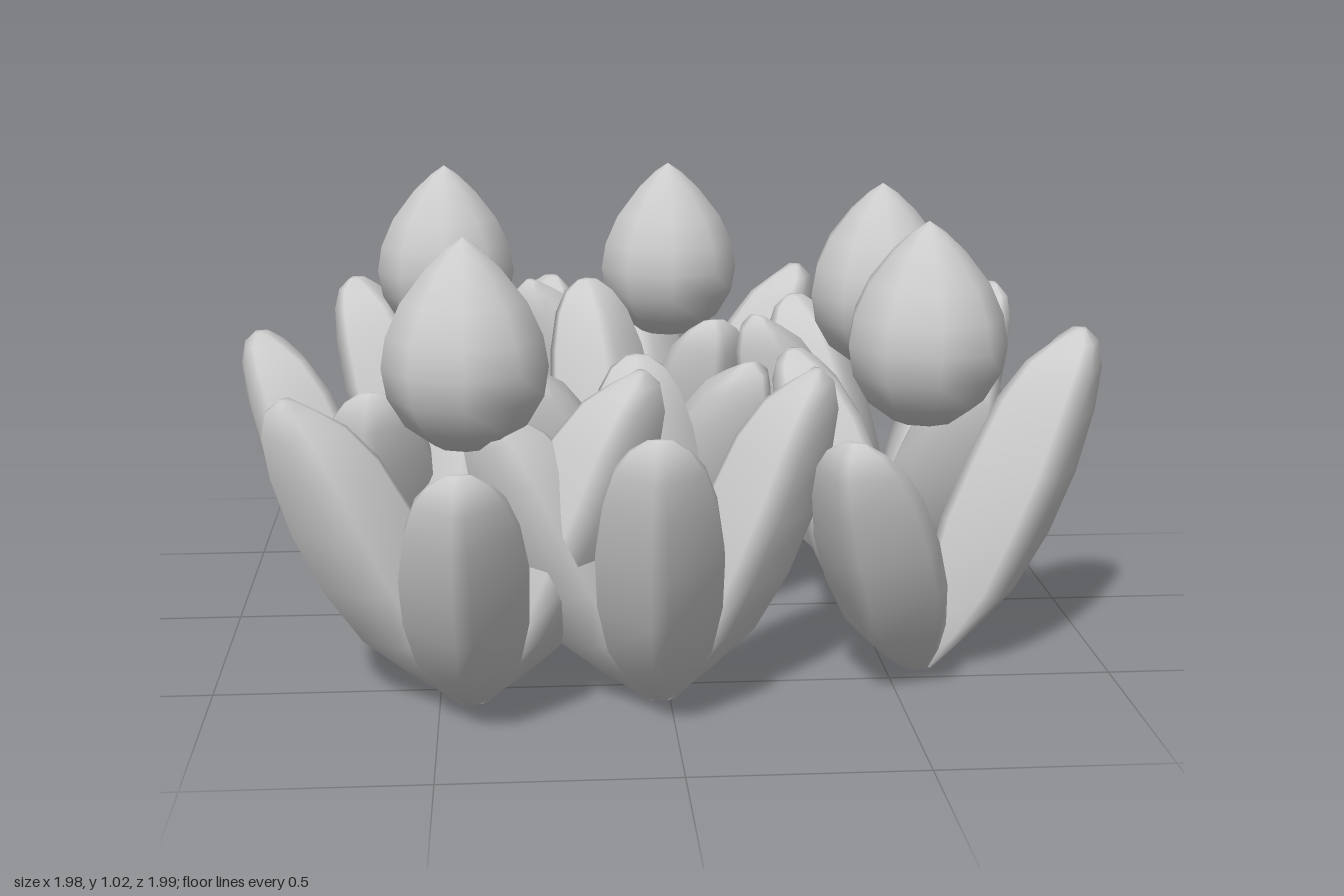
import * as THREE from 'three';

// Leaf side profile: [outer ridge reach, height, inner ridge reach, height, half width]
const STATIONS = [
  [0.04, 0, 0.0, 0, 0.035],
  [0.13, 0.07, 0.005, 0.09, 0.075],
  [0.23, 0.16, 0.025, 0.2, 0.11],
  [0.31, 0.29, 0.06, 0.34, 0.13],
  [0.37, 0.43, 0.12, 0.48, 0.132],
  [0.41, 0.57, 0.185, 0.61, 0.115],
  [0.425, 0.67, 0.25, 0.69, 0.09],
  [0.415, 0.73, 0.31, 0.73, 0.06],
  [0.385, 0.76, 0.355, 0.755, 0.025],
];
// Cross-section: rounded rhombus, [thickness, width]
const SECTION = [[1, 0.14], [0.22, 1], [-0.22, 1], [-1, 0.14],
  [-1, -0.14], [-0.22, -1], [0.22, -1], [1, -0.14]];

function leafGeometry(reach, height) {
  const pos = [], idx = [], n = SECTION.length, m = STATIONS.length;
  const kr = reach / 0.425, kh = height / 0.76;
  const add = (d, y, w) => pos.push(d * kr, y * kh, w);
  for (const [od, oy, id, iy, w] of STATIONS) {
    for (const [a, b] of SECTION) {
      add((od + id) / 2 + a * (od - id) / 2, (oy + iy) / 2 + a * (oy - iy) / 2, b * w);
    }
  }
  for (let i = 0; i < m - 1; i++) {
    for (let j = 0; j < n; j++) {
      const a = i * n + j, b = i * n + (j + 1) % n;
      idx.push(a, a + n, b, b, a + n, b + n);
    }
  }
  // end caps
  add(0.02, 0, 0);
  add(0.372, 0.76, 0);
  for (let j = 0; j < n; j++) {
    const k = (j + 1) % n, top = (m - 1) * n;
    idx.push(m * n, j, k, m * n + 1, top + k, top + j);
  }
  const g = new THREE.BufferGeometry();
  g.setAttribute('position', new THREE.Float32BufferAttribute(pos, 3));
  g.setIndex(idx);
  g.computeVertexNormals();
  return g;
}

// Plants: centre, whether it carries a bud, leaves as [tip dx, tip dz, height]
const PLANTS = [
  { x: -0.5, z: -0.55, bud: true, leaves: [[-0.29, -0.31, 0.68], [0.32, -0.3, 0.68], [-0.02, 0.42, 0.66]] },
  { x: 0.08, z: -0.56, bud: true, leaves: [[-0.1, -0.43, 0.66], [0.4, -0.12, 0.73], [0.1, 0.42, 0.68], [-0.41, 0.08, 0.73]] },
  { x: 0.575, z: -0.16, bud: true, leaves: [[-0.19, -0.39, 0.68], [0.37, -0.25, 0.73], [0.21, 0.35, 0.62], [-0.37, 0.18, 0.73]] },
  { x: 0.575, z: 0.415, bud: true, leaves: [[0.42, -0.1, 0.76], [-0.24, 0.39, 0.62], [-0.29, -0.31, 0.68]] },
  { x: -0.43, z: 0.555, bud: true, leaves: [[-0.43, 0, 0.68], [-0.01, 0.44, 0.62], [0, -0.43, 0.68], [0.42, 0, 0.73]] },
  { x: -0.62, z: 0.05, bud: false, leaves: [[-0.36, -0.21, 0.68], [0.33, -0.25, 0.7], [-0.02, 0.43, 0.66]] },
  { x: -0.04, z: -0.09, bud: false, leaves: [[-0.11, -0.4, 0.74], [0.29, 0.32, 0.66], [-0.31, 0.32, 0.66]] },
  { x: -0.02, z: 0.56, bud: false, leaves: [[0.38, 0, 0.73], [-0.03, 0.42, 0.68], [-0.03, -0.43, 0.68], [-0.42, 0, 0.66]] },
];

export function createModel() {
  const model = new THREE.Group();
  model.name = 'plantCluster';
  const material = new THREE.MeshStandardMaterial({ color: 0xcccccc });

  // pointed, round-bottomed bud
  const profile = [[0, 0.565], [0.07, 0.578], [0.13, 0.622], [0.167, 0.685], [0.178, 0.75],
    [0.167, 0.815], [0.135, 0.885], [0.08, 0.955], [0.035, 0.997], [0, 1.02]];
  const budGeometry = new THREE.LatheGeometry(profile.map(([r, y]) => new THREE.Vector2(r, y)), 9);

  PLANTS.forEach(({ x, z, bud, leaves }) => {
    const plant = new THREE.Group();
    plant.name = 'plant';
    plant.position.set(x, 0, z);
    for (const [dx, dz, height] of leaves) {
      const leaf = new THREE.Mesh(leafGeometry(Math.hypot(dx, dz), height), material);
      leaf.name = 'leaf';
      leaf.rotation.y = Math.atan2(-dz, dx);
      plant.add(leaf);
    }
    if (bud) {
      const mesh = new THREE.Mesh(budGeometry, material);
      mesh.name = 'bud';
      plant.add(mesh);
    }
    model.add(plant);
  });
  return model;
}
